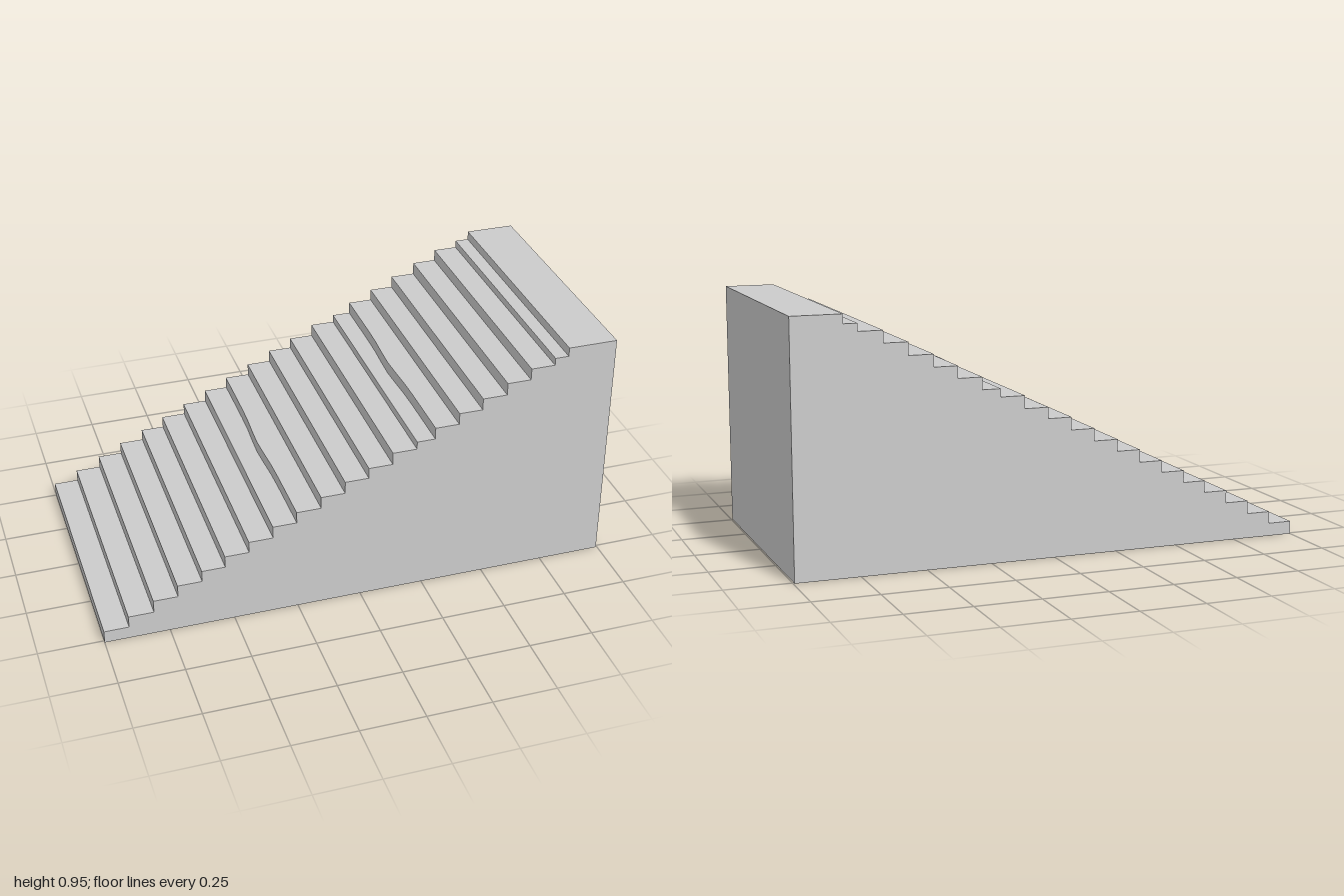
import * as THREE from 'three';

// Each step: x of its riser, height of its tread
const STEPS = [
  [-1, 0.05], [-0.905, 0.097], [-0.808, 0.148], [-0.714, 0.197], [-0.62, 0.243],
  [-0.53, 0.29], [-0.437, 0.336], [-0.344, 0.385], [-0.252, 0.431], [-0.157, 0.479],
  [-0.064, 0.528], [0.028, 0.571], [0.121, 0.62], [0.215, 0.651], [0.286, 0.698],
  [0.379, 0.744], [0.47, 0.791], [0.565, 0.84], [0.657, 0.886], [0.75, 0.915], [0.803, 0.95],
];
const BACK = 0.995;
const DEPTH = 1.02;
const WORN = [-0.252, 0.286]; // risers that bow slightly along their middle

export function createModel() {
  const group = new THREE.Group();
  group.name = 'staircase';

  // Stepped side profile, ending in the top landing and the tall end wall
  const profile = new THREE.Shape();
  profile.moveTo(BACK, 0);
  profile.lineTo(BACK, STEPS[STEPS.length - 1][1]);
  for (let i = STEPS.length - 1; i >= 0; i--) {
    const [x, top] = STEPS[i];
    profile.lineTo(x, top);
    profile.lineTo(x, i > 0 ? STEPS[i - 1][1] : 0);
  }
  profile.closePath();

  const geometry = new THREE.ExtrudeGeometry(profile, { depth: DEPTH, steps: 12, bevelEnabled: false });
  geometry.translate(0, 0, -DEPTH / 2);

  // Gentle bow in the worn risers
  const pos = geometry.attributes.position;
  for (let i = 0; i < pos.count; i++) {
    const x = pos.getX(i), z = pos.getZ(i);
    if (WORN.some((w) => Math.abs(w - x) < 0.002)) pos.setX(i, x - 0.01 * Math.exp(-((z / 0.13) ** 2)));
  }
  geometry.computeVertexNormals();

  const steps = new THREE.Mesh(geometry, new THREE.MeshStandardMaterial({ color: 0xcccccc, flatShading: true }));
  steps.name = 'solidSteps';
  group.add(steps);
  return group;
}
